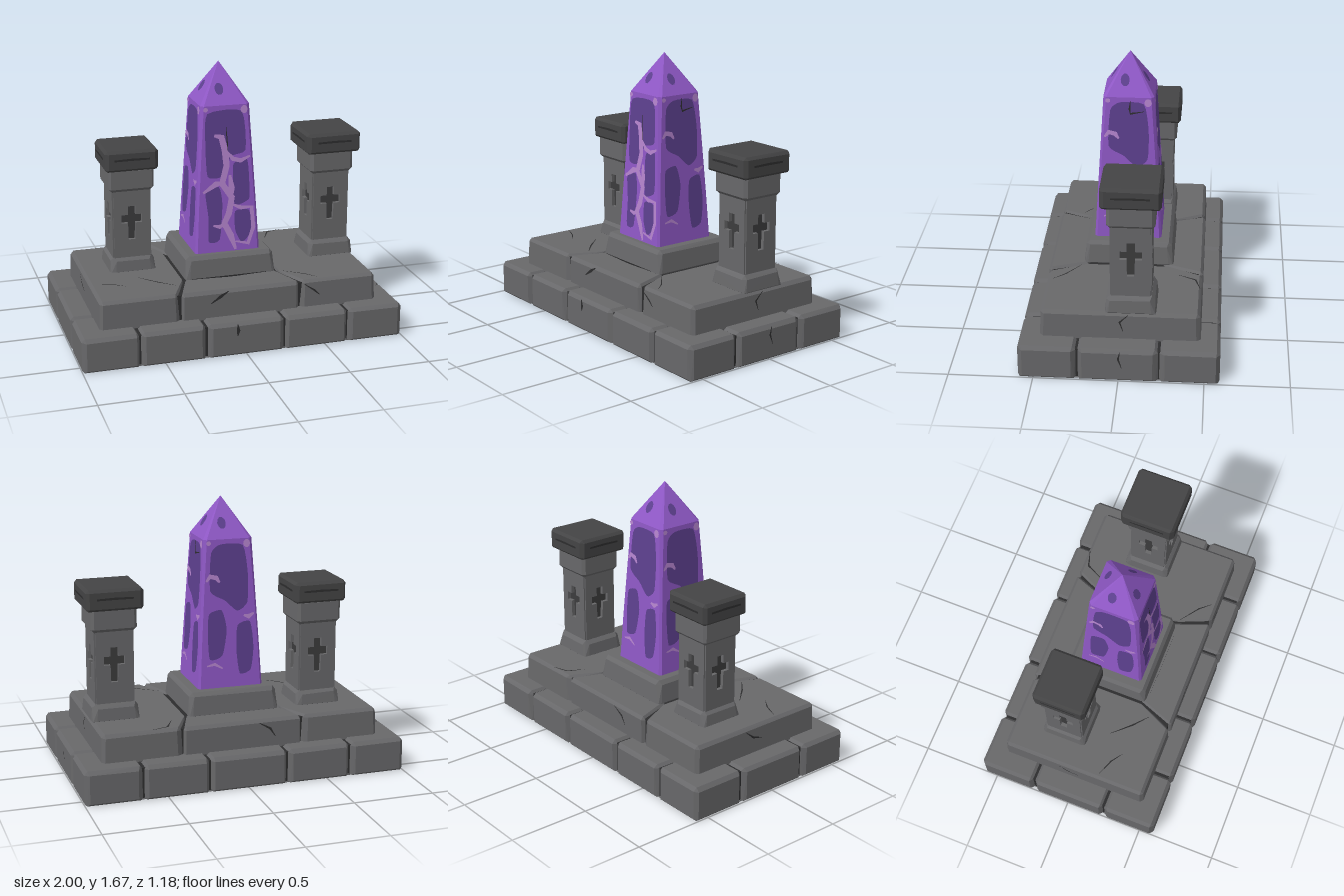
import * as THREE from 'three';
import { ConvexGeometry } from 'three/addons/geometries/ConvexGeometry.js';

const mat = (name, color) => Object.assign(new THREE.MeshStandardMaterial({ color }), { name });

export function createModel() {
  const stone = mat('stone', 0x68686a);
  const darkStone = mat('darkStone', 0x444445);
  const seam = mat('seam', 0x2d2d2e);
  const recess = mat('recess', 0x3c3c3d);
  const crystal = mat('crystal', 0x8f58c6);
  const crystalDark = mat('crystalDark', 0x5d408f);
  const crystalLight = mat('crystalLight', 0xb685cf);

  const root = new THREE.Group();
  root.name = 'obeliskShrine';

  let seed = 7;
  const rand = () => (seed = (seed * 16807) % 2147483647) / 2147483647;

  const add = (parent, name, geo, material) => {
    const m = new THREE.Mesh(geo, material);
    m.name = name;
    parent.add(m);
    return m;
  };
  const group = (parent, name) => {
    const g = new THREE.Group();
    g.name = name;
    parent.add(g);
    return g;
  };

  // Chamfered, slightly chipped block over a convex footprint of [x, z] corners
  function block(foot, y0, y1, b = 0.02, jitter = 0.005, low = b * 0.6, taper = 0) {
    const pts = [];
    const n = foot.length;
    const put = (x, y, z) => pts.push(new THREE.Vector3(x, y, z));
    const c = foot.reduce((s, p) => [s[0] + p[0] / n, s[1] + p[1] / n], [0, 0]);
    foot.forEach((p, i) => {
      const dirs = [foot[(i + n - 1) % n], foot[(i + 1) % n]].map((q) => {
        const l = Math.hypot(q[0] - p[0], q[1] - p[1]);
        return [(q[0] - p[0]) / l, (q[1] - p[1]) / l];
      });
      const inX = dirs[0][0] + dirs[1][0], inZ = dirs[0][1] + dirs[1][1];
      const tx = Math.sign(c[0] - p[0]) * taper, tz = Math.sign(c[1] - p[1]) * taper;
      put(p[0] + inX * low, y0, p[1] + inZ * low);
      put(p[0] + inX * b + tx, y1, p[1] + inZ * b + tz);
      for (const d of dirs) {
        const k = b + rand() * jitter * 2;
        put(p[0] + d[0] * k, y0 + low, p[1] + d[1] * k);
        put(p[0] + d[0] * k + tx, y1 - b - rand() * jitter, p[1] + d[1] * k + tz);
      }
    });
    return new ConvexGeometry(pts);
  }
  const rect = (x0, x1, z0, z1) => [[x0, z0], [x1, z0], [x1, z1], [x0, z1]];
  const square = (x, z, w) => rect(x - w / 2, x + w / 2, z - w / 2, z + w / 2);

  // Flat ribbon along points, pointed at the ends
  function ribbon(points, w, tip = 0.25) {
    const left = [], right = [];
    points.forEach((p, i) => {
      const a = points[Math.max(i - 1, 0)], b = points[Math.min(i + 1, points.length - 1)];
      const l = Math.hypot(b[0] - a[0], b[1] - a[1]);
      const h = (w / 2) * (i === 0 || i === points.length - 1 ? tip : 1);
      const nx = (-(b[1] - a[1]) / l) * h, ny = ((b[0] - a[0]) / l) * h;
      left.push(new THREE.Vector2(p[0] + nx, p[1] + ny));
      right.unshift(new THREE.Vector2(p[0] - nx, p[1] - ny));
    });
    return new THREE.Shape([...left, ...right]);
  }

  // Lower course: a ring of separate blocks around a dark core
  const base = group(root, 'baseCourse');
  const xs = [-1, -0.65, -0.245, 0.24, 0.645, 1], zs = [-0.59, -0.235, 0.245, 0.59];
  for (let i = 0; i < 5; i++) for (let j = 0; j < 3; j++) {
    if (j === 1 && i > 0 && i < 4) continue;
    const g = 0.004;
    add(base, 'baseBlock', block(rect(xs[i] + (i ? g : 0), xs[i + 1] - (i < 4 ? g : 0),
      zs[j] + (j ? g : 0), zs[j + 1] - (j < 2 ? g : 0)), 0, 0.21, 0.02, 0.006, 0.012), stone);
  }
  add(base, 'baseCore', new THREE.BoxGeometry(1.95, 0.185, 1.13).translate(0, 0.1, 0), seam);
  add(base, 'baseUnderside', new THREE.BoxGeometry(1.96, 0.006, 1.14).translate(0, 0.003, 0), stone);

  // Upper course: two wide end blocks and two wedge blocks between them
  const step = group(root, 'upperCourse');
  const end = (s) => [[0.87, -0.475], [0.385, -0.475], [0.295, -0.27], [0.295, 0.25], [0.385, 0.47], [0.87, 0.47]]
    .map(([x, z]) => [x * s, z]);
  for (const s of [-1, 1]) {
    add(step, 'endBlock', block(end(s), 0.19, 0.38, 0.018, 0.005, 0.01, 0.006), stone);
    const z = s > 0 ? 0.47 : -0.475, zi = s > 0 ? 0.22 : -0.22;
    add(step, 'wedgeBlock', block([[-0.378, z], [0.378, z], [0.285, zi], [-0.285, zi]], 0.19, 0.38, 0.018), stone);
  }
  add(step, 'stepCore', new THREE.BoxGeometry(1.68, 0.17, 0.9).translate(0, 0.28, 0), seam);

  // Plinth under the obelisk
  add(root, 'plinth', block(rect(-0.29, 0.285, -0.29, 0.26), 0.375, 0.52, 0.02, 0.006, 0.006, 0.012), stone);

  // Hairline cracks in the stone: [points, width, direction, plane offset]
  const cracks = group(root, 'cracks');
  const crackList = [
    [[[-0.19, 0.3], [-0.13, 0.34], [-0.08, 0.37]], 0.02, 'front', 0.472],
    [[[0.4, 0.36], [0.47, 0.31], [0.5, 0.28]], 0.012, 'front', 0.472],
    [[[-0.06, 0.2], [-0.055, 0.16], [-0.06, 0.125]], 0.022, 'front', 0.592],
    [[[-0.25, 0.388], [0, 0.384], [0.22, 0.388]], 0.01, 'front', 0.272],
    [[[0.01, 0.2], [0.0, 0.15], [0.02, 0.09]], 0.012, 'right', 1.002],
    [[[0.05, 0.37], [0.0, 0.32], [0.02, 0.26]], 0.012, 'right', 0.872],
    [[[0.1, 0.36], [0.17, 0.32], [0.2, 0.27]], 0.014, 'back', 0.477],
    [[[-0.1, 0.36], [-0.04, 0.31], [0.03, 0.29]], 0.012, 'left', 0.872],
    [[[-0.56, -0.13], [-0.46, -0.24], [-0.37, -0.32]], 0.01, 'top', 0.382],
    [[[0.41, 0.33], [0.46, 0.43], [0.56, 0.46]], 0.012, 'top', 0.382],
    [[[-0.83, -0.16], [-0.73, -0.2], [-0.66, -0.25]], 0.008, 'top', 0.382],
    [[[0.32, -0.27], [0.44, -0.36], [0.5, -0.43]], 0.008, 'top', 0.382],
  ];
  const turn = { front: 0, right: 1, back: 2, left: 3 };
  for (const [pts, w, dir, off] of crackList) {
    const g = new THREE.ShapeGeometry(ribbon(pts, w)).translate(0, 0, off);
    if (dir === 'top') g.rotateX(-Math.PI / 2);
    else g.rotateY((turn[dir] * Math.PI) / 2);
    add(cracks, 'crack', g, seam);
  }

  // Obelisk: tapering shaft with cut corners and a pointed top
  const obelisk = group(root, 'obelisk');
  obelisk.position.set(-0.005, 0, -0.005);
  const half = (y) => (y <= 1.43 ? 0.205 - (y - 0.52) * 0.0577 : (0.1525 * (1.67 - y)) / 0.24);
  const hull = [];
  for (const [y, cut] of [[0.51, 0.014], [0.8, 0.012], [1.1, 0.014], [1.43, 0.018], [1.655, 0.003]]) {
    const h = half(y);
    for (const sx of [-1, 1]) for (const sz of [-1, 1]) {
      hull.push(new THREE.Vector3(sx * (h - cut), y, sz * h), new THREE.Vector3(sx * h, y, sz * (h - cut)));
    }
  }
  hull.push(new THREE.Vector3(0, 1.67, 0));
  add(obelisk, 'crystalBody', new ConvexGeometry(hull), crystal);

  // Painted marks laid on one of the four sloping faces
  function mark(name, shape, material, face, lift) {
    const g = new THREE.ShapeGeometry(shape, 5);
    const p = g.attributes.position;
    for (let i = 0; i < p.count; i++) p.setZ(i, half(p.getY(i)) + lift);
    g.computeVertexNormals();
    add(obelisk, name, g.rotateY((face * Math.PI) / 2), material);
  }
  const blob = (pts) => {
    const curve = new THREE.CatmullRomCurve3(pts.map(([x, y]) => new THREE.Vector3(x, y, 0)), true, 'catmullrom', 0.3);
    return new THREE.Shape(curve.getPoints(pts.length * 4).slice(0, -1).map((v) => new THREE.Vector2(v.x, v.y)));
  };
  const spot = (x, y, rx, ry) => new THREE.Shape().absellipse(x, y, rx, ry, 0, Math.PI * 2);

  const frontPatches = [
    [[-0.115, 1.385], [0.1, 1.39], [0.122, 1.15], [0.04, 1.12], [-0.02, 1.05], [-0.04, 0.99], [-0.12, 1], [-0.13, 1.2]],
    [[-0.135, 0.91], [-0.05, 0.93], [-0.03, 0.82], [-0.05, 0.6], [-0.12, 0.59], [-0.12, 0.75]],
    [[0.045, 1.07], [0.13, 1.09], [0.143, 0.95], [0.14, 0.84], [0.05, 0.81], [0.04, 0.95]],
    [[0.05, 0.77], [0.14, 0.77], [0.15, 0.63], [0.09, 0.57], [0.05, 0.65]],
  ];
  const frontVeins = [
    [[[-0.075, 1.25], [-0.03, 1.24], [-0.01, 1.16], [0, 1.06], [-0.03, 0.95], [0.03, 0.86], [0.01, 0.76], [-0.02, 0.7], [0.02, 0.62], [0.05, 0.53]], 0.04],
    [[[0, 1.15], [0.04, 1.1], [0.09, 1.085], [0.15, 1.11]], 0.028],
    [[[-0.01, 0.96], [-0.07, 0.95], [-0.15, 0.9]], 0.036],
    [[[0.02, 0.82], [0.09, 0.79], [0.155, 0.79], [0.165, 0.66], [0.13, 0.56], [0.05, 0.58]], 0.026],
    [[[-0.01, 0.7], [-0.05, 0.68], [-0.09, 0.69]], 0.028],
    [[[0.02, 1], [0.03, 0.92], [0.025, 0.84]], 0.04],
  ];
  const sidePatches = [
    [[-0.11, 1.35], [-0.05, 1.4], [0.09, 1.39], [0.12, 1.22], [0.115, 1.04], [0.05, 0.99], [-0.03, 1.06], [-0.12, 1.12]],
    [[-0.13, 0.98], [-0.05, 1], [-0.02, 0.88], [-0.05, 0.72], [-0.13, 0.7], [-0.14, 0.85]],
    [[0.05, 0.9], [0.13, 0.92], [0.15, 0.76], [0.13, 0.62], [0.06, 0.6], [0.04, 0.75]],
  ];
  const sideVeins = [
    [[[-0.145, 1.18], [-0.12, 1.21], [-0.08, 1.2], [-0.06, 1.17]], 0.03],
    [[[0.155, 0.97], [0.12, 0.95], [0.09, 0.96]], 0.03],
    [[[-0.15, 0.66], [-0.1, 0.67], [-0.05, 0.64]], 0.02],
  ];
  for (let f = 0; f < 4; f++) {
    for (const p of f ? sidePatches : frontPatches) mark('darkPatch', blob(p), crystalDark, f, 0.002);
    for (const [p, w] of f ? sideVeins : frontVeins) mark('lightVein', ribbon(p, w, 0.4), crystalLight, f, 0.004);
    mark('tipSpot', spot(-0.025, 1.52, 0.027, 0.033), crystalDark, f, 0.003);
    mark('shoulderFleck', spot(0.115, 1.4, 0.022, 0.025), crystalLight, f, 0.004);
    mark('shoulderFleck', spot(-0.125, 1.41, 0.015, 0.014), crystalLight, f, 0.004);
  }
  mark('chip', ribbon([[0.01, 1.41], [0.005, 1.36], [0.01, 1.33], [0.09, 1.345]], 0.012), seam, 1, 0.005);
  mark('chip', ribbon([[0, 1.3], [0.005, 1.22], [0.01, 1.15]], 0.008), seam, 0, 0.005);

  // Pillars with a cross-shaped recess on every side
  function pillar(name, x, z, y1, y2, y3, y4, baseW, capW) {
    const g = group(root, name);
    g.position.set(x, 0, z);
    add(g, 'pillarBase', block(square(0, 0, baseW), 0.375, y1, 0.02, 0.008, 0.006, 0.008), stone);
    const w = 0.242, d = 0.022, cy = y4 - 0.445;
    add(g, 'recessCore', new THREE.BoxGeometry(w - 2 * d, y2 - y1, w - 2 * d).translate(0, (y1 + y2) / 2, 0), recess);
    const e = w / 2 - 0.008;
    const v = (a) => a.map(([px, py]) => new THREE.Vector2(px, py));
    const panel = new THREE.Shape(v([[-e, y1 - 0.01], [e, y1 - 0.01], [e, y2 + 0.01], [-e, y2 + 0.01]]));
    panel.holes.push(new THREE.Path(v([
      [-0.024, cy + 0.08], [0.024, cy + 0.08], [0.024, cy + 0.025], [0.064, cy + 0.025], [0.064, cy - 0.028], [0.024, cy - 0.028],
      [0.02, cy - 0.135], [-0.022, cy - 0.135], [-0.024, cy - 0.028], [-0.064, cy - 0.028], [-0.064, cy + 0.025], [-0.024, cy + 0.025],
    ])));
    const slot = ribbon([[-0.11, y4 - 0.058], [0, y4 - 0.056], [0.11, y4 - 0.058]], 0.014, 0.8);
    for (let k = 0; k < 4; k++) {
      const a = (k * Math.PI) / 2;
      const geo = new THREE.ExtrudeGeometry(panel, { depth: d, bevelEnabled: false });
      add(g, 'shaftPanel', geo.translate(0, 0, w / 2 - d).rotateY(a), stone);
      add(g, 'capGroove', new THREE.ShapeGeometry(slot).translate(0, 0, capW / 2 + 0.002).rotateY(a), seam);
    }
    add(g, 'capital', block(square(0, 0, 0.28), y2, y3 + 0.01, 0.012, 0.004, 0.022), stone);
    add(g, 'cap', block(square(0, 0, capW), y3, y4, 0.016, 0.004, 0.014), darkStone);
  }
  pillar('rightPillar', -0.555, -0.135, 0.47, 0.89, 1.03, 1.16, 0.29, 0.33);
  pillar('leftPillar', 0.715, -0.063, 0.48, 0.92, 1.06, 1.19, 0.3, 0.35);

  return root;
}
